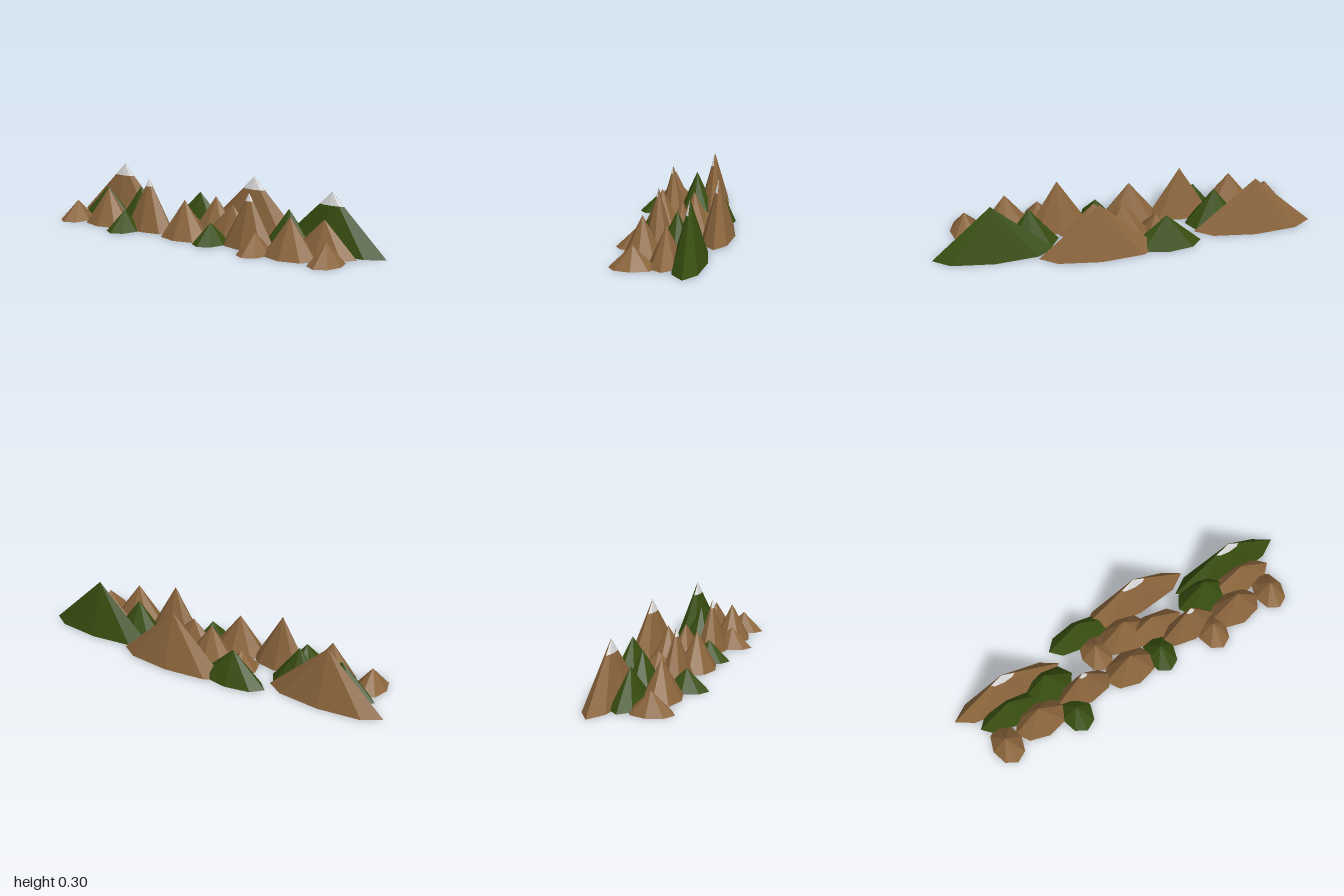
import * as THREE from 'three';

const rock = new THREE.MeshStandardMaterial({ color: 0x8b653c });
rock.name = 'brownRock';
const forest = new THREE.MeshStandardMaterial({ color: 0x374d0f });
forest.name = 'forestGreen';
const snow = new THREE.MeshStandardMaterial({ color: 0xdcdcdc });
snow.name = 'snow';

// Eight-sided cone with hard facets, squashed in depth.
function facetedCone(width, height, depth, sides, open, start, sweep) {
  const geo = new THREE.ConeGeometry(1, 1, sides, 1, open, start, sweep).toNonIndexed();
  geo.translate(0, 0.5, 0);
  geo.scale(width, height, depth);
  geo.computeVertexNormals();
  return geo;
}

function peak(name, material, x, z, width, depth, height, base = 0, snowLine = 0) {
  const group = new THREE.Group();
  group.name = name;
  group.position.set(x, base, z);

  const body = new THREE.Mesh(facetedCone(width, height, depth, 8, false, 0, Math.PI * 2), material);
  body.name = name + 'Slopes';
  group.add(body);

  // Snow lies only on the front half of the tip.
  if (snowLine) {
    const t = (height - snowLine) / height;
    const cap = new THREE.Mesh(
      facetedCone(width * t, height - snowLine, depth * t, 4, true, -Math.PI / 2, Math.PI), snow);
    cap.name = name + 'Snow';
    cap.position.set(0, snowLine, 0.0015);
    group.add(cap);
  }
  return group;
}

export function createModel() {
  const range = new THREE.Group();
  range.name = 'mountainRange';

  // Great snowy mountains at the back
  range.add(peak('greatMountainRight', rock, -0.685, -0.11, 0.315, 0.083, 0.296, 0, 0.231));
  range.add(peak('greatMountainMiddle', rock, 0.15, -0.21, 0.313, 0.083, 0.296, 0.005, 0.229));
  range.add(peak('greatMountainLeft', forest, 0.685, -0.125, 0.315, 0.083, 0.296, 0, 0.231));

  // Snowy pinnacles
  range.add(peak('pinnacleRight', rock, -0.327, 0.087, 0.163, 0.08, 0.278, 0, 0.237));
  range.add(peak('pinnacleLeft', rock, 0.327, 0.073, 0.163, 0.08, 0.278, 0, 0.237));

  // Middle peaks: material, x, z
  [
    [rock, -0.605, 0.11], [rock, -0.06, 0.11], [rock, 0.6, 0.11],
    [rock, 0.005, -0.068], [forest, -0.49, -0.027], [forest, 0.49, -0.04],
  ].forEach(([m, x, z], i) => range.add(peak('middlePeak' + (i + 1), m, x, z, 0.15, 0.1, 0.2)));

  // Broad hills
  [
    [forest, -0.715, -0.003], [forest, -0.2, -0.19], [rock, 0.15, -0.02], [rock, 0.713, -0.018],
  ].forEach(([m, x, z], i) => range.add(peak('broadHill' + (i + 1), m, x, z, 0.187, 0.08, 0.176, 0.004)));

  // Low foothills
  [
    [rock, -0.82, 0.135], [forest, -0.427, 0.175], [forest, 0.12, 0.121],
    [rock, 0.427, 0.158], [rock, 0.815, 0.122], [rock, -0.172, -0.06],
  ].forEach(([m, x, z], i) => range.add(peak('foothill' + (i + 1), m, x, z, 0.083, 0.114, 0.108)));

  return range;
}
